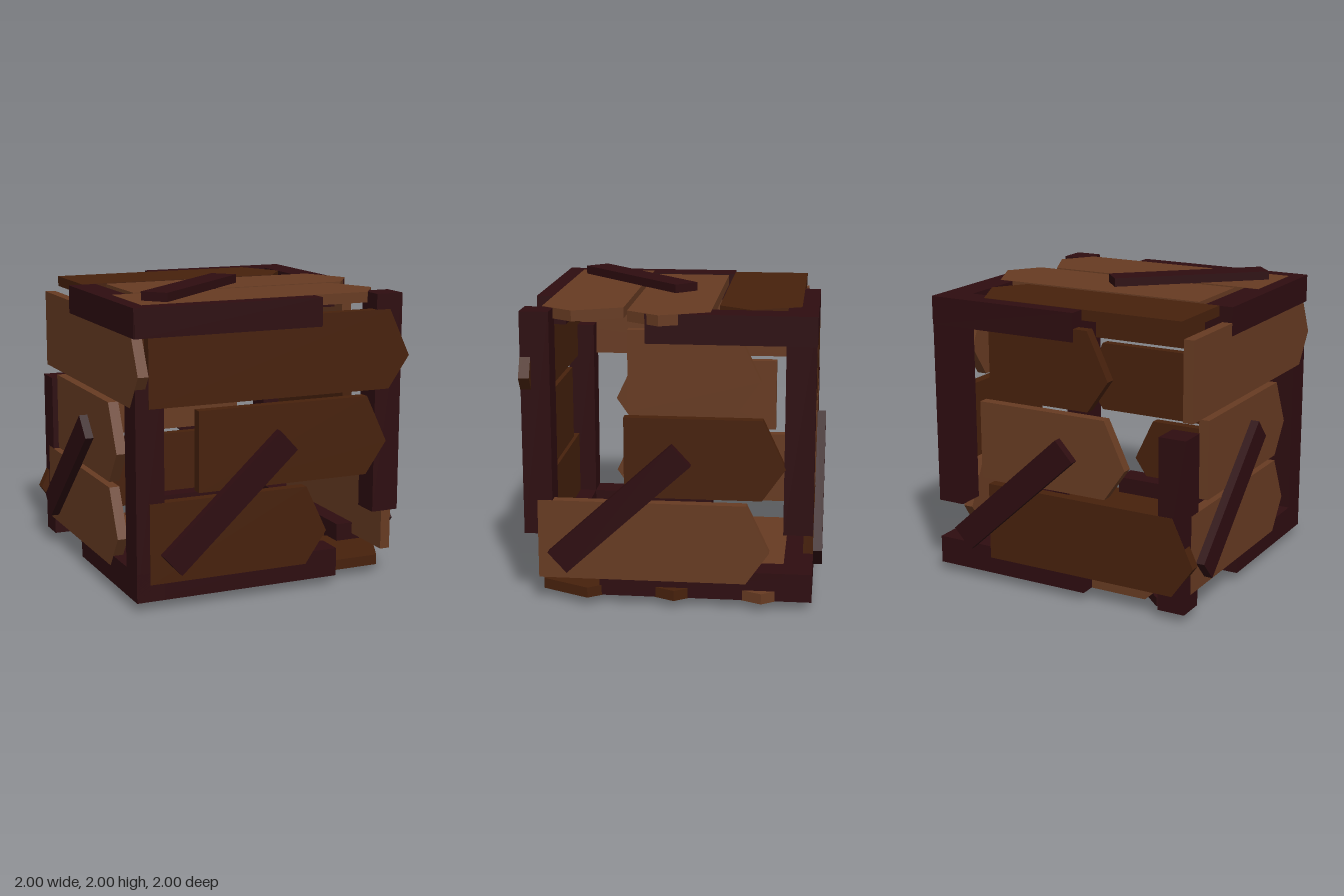
import * as THREE from 'three';

const mat = (name, color) => Object.assign(new THREE.MeshStandardMaterial({ color }), { name });

export function createModel() {
  const beamWood = mat('darkBeamWood', 0x2e0d10);
  const brown = mat('brownPlank', 0x47210c);
  const tan = mat('tanPlank', 0x673b22);
  const model = new THREE.Group();
  model.name = 'brokenCrate';

  const R = 0.94, W = 0.19, ROW = 0.53, T = 0.07;

  // Broken edge beam running along one axis; a and b give the side of the other two axes
  function beam(name, axis, from, to, a, b) {
    const mid = R - W / 2, size = [W, W, W], pos = [0, 0, 0];
    const others = [0, 1, 2].filter(i => i !== axis);
    size[axis] = to - from;
    pos[axis] = (from + to) / 2;
    pos[others[0]] = a * mid;
    pos[others[1]] = b * mid;
    // top rails stand very slightly proud of the side planks
    if (axis !== 1 && pos[1] > 0) {
      const side = axis === 0 ? 2 : 0;
      size[side] += 0.004;
      pos[side] += Math.sign(pos[side]) * 0.002;
    }
    const mesh = new THREE.Mesh(new THREE.BoxGeometry(...size), beamWood);
    mesh.name = name;
    mesh.position.set(pos[0], pos[1] + 1, pos[2]);
    model.add(mesh);
  }

  // Corner posts (lengths measured from the crate centre)
  beam('frontLeftCornerPost', 1, -0.53, R, 1, 1);
  beam('frontRightCornerPost', 1, -R, 0.54, -1, 1);
  beam('backLeftCornerPost', 1, -0.485, R, 1, -1);
  beam('backRightCornerPost', 1, -R, 0.22, -1, -1);
  // Rails along x
  beam('frontTopRail', 0, -R, 0.35, 1, 1);
  beam('backTopRail', 0, -0.14, R, 1, -1);
  beam('frontBottomRail', 0, -R, 0.48, -1, 1);
  beam('backBottomRail', 0, -0.2, R, -1, -1);
  // Rails along z
  beam('leftTopRail', 2, -R, 0.14, 1, 1);
  beam('rightTopRail', 2, -0.305, R, -1, 1);
  beam('leftBottomRail', 2, -R, 0.45, 1, -1);
  beam('rightBottomRail', 2, -0.14, R, -1, -1);

  // Plank with one splintered, off-centre point
  function plank(start, tip, row, material) {
    const h = ROW / 2, s = new THREE.Shape();
    s.moveTo(start, -h);
    s.lineTo(tip - 0.15, -h);
    s.lineTo(tip, -0.05);
    s.lineTo(tip - 0.15, h);
    s.lineTo(start, h);
    s.closePath();
    const geo = new THREE.ExtrudeGeometry(s, { depth: T, bevelEnabled: false });
    const mesh = new THREE.Mesh(geo, material);
    mesh.position.set(0, row * 0.568 + 0.003, R - T + 0.002);
    mesh.name = ['lowerPlank', 'middlePlank', 'upperPlank'][row + 1];
    return mesh;
  }

  // One side: three planks [start, tip, material] from low to high, plus a diagonal brace
  function side(name, rx, ry, planks) {
    const g = new THREE.Group();
    g.name = name;
    planks.forEach(([start, tip, m], i) => g.add(plank(start, tip, i - 1, m)));
    const brace = new THREE.Mesh(new THREE.BoxGeometry(1.1, 0.184, 0.06), beamWood);
    brace.name = 'diagonalBrace';
    brace.position.set(-0.3125, -0.335, 0.97);
    brace.rotation.z = 0.743;
    g.add(brace);
    g.rotation.set(rx, ry, 0);
    g.position.y = 1;
    model.add(g);
  }

  const Q = Math.PI / 2;
  side('frontSide', 0, 0, [[-0.85, 0.4, brown], [-0.515, 0.84, brown], [-0.85, 1, brown]]);
  side('leftSide', 0, Q, [[-0.85, 0.66, tan], [-0.28, 0.76, brown], [-0.25, 0.595, tan]]);
  side('backSide', 0, Math.PI, [[-0.53, 1, brown], [-0.58, 0.51, tan], [-0.5, 0.39, brown]]);
  side('rightSide', 0, -Q, [[-0.85, 0.6, tan], [-0.62, 0.6, tan], [-0.85, 1, tan]]);
  side('topSide', -Q, 0, [[-0.85, 0.89, tan], [-0.69, 1, tan], [-0.85, 0.75, brown]]);
  side('bottomSide', Q, 0, [[-0.6, 1, tan], [-0.45, 1, brown], [-0.85, 1, brown]]);

  return model;
}
